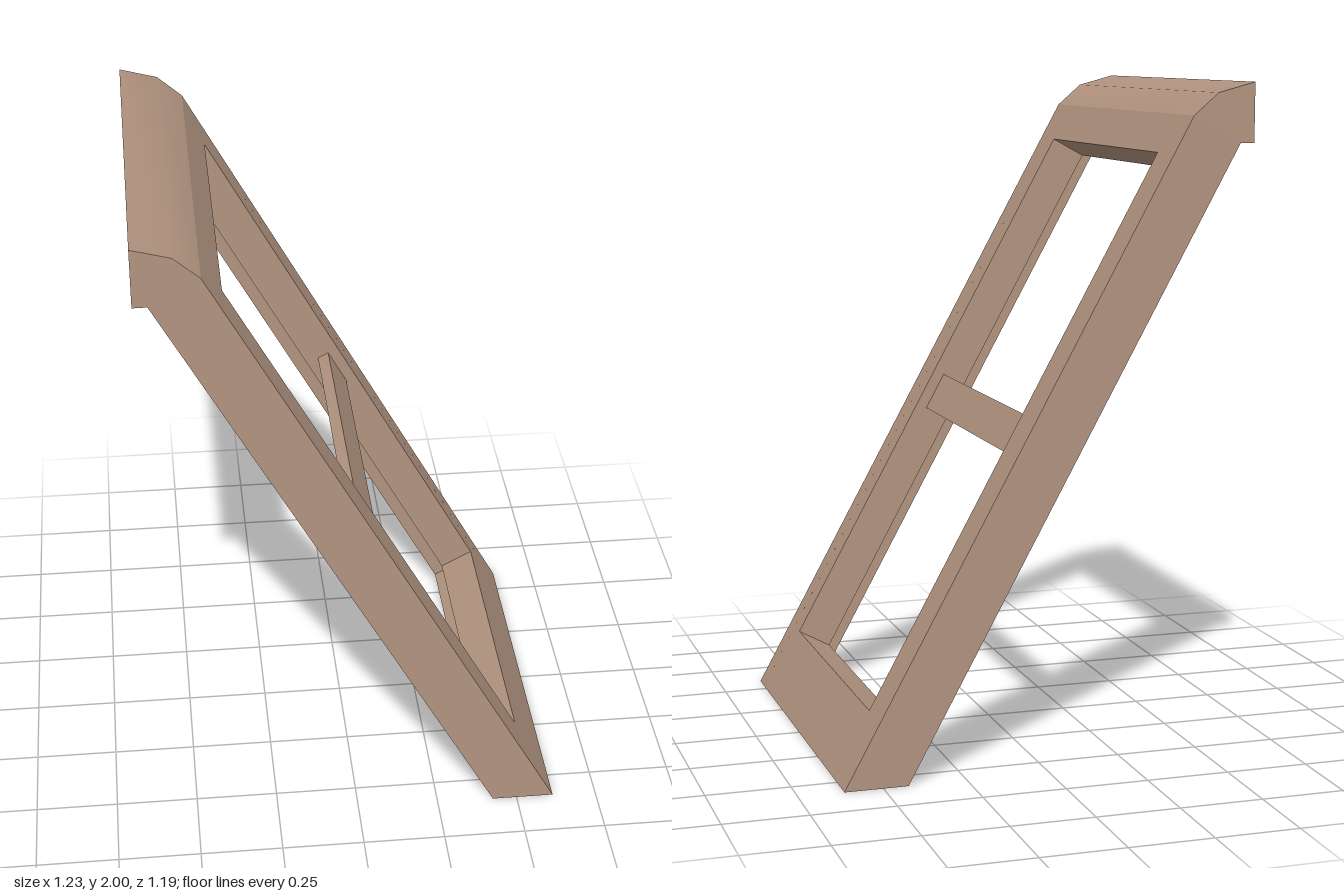
import * as THREE from 'three';
import { toCreasedNormals } from 'three/addons/utils/BufferGeometryUtils.js';

// Slope frame: s runs up the leaning panel, n points out of its front face.
const T = [-0.481, 0.877], N = [0.877, 0.481];
const at = (s, n) => [s * T[0] + n * N[0], s * T[1] + n * N[1]];

const FRONT = 0.539, STEP = 0.425, BACK = 0.373;   // front face, rebate shelf, back face
const LOW = -0.073, HIGH = 1.752, REBATE = 0.068;  // opening along the slope
const HALF = 0.593, OPEN = 0.465;                  // half widths along z
const TOP = 1.877;                                 // where the cap begins

export function createModel() {
  const group = new THREE.Group();
  const wood = new THREE.MeshStandardMaterial({ color: 0xb1937f });
  wood.name = 'brown wood';

  // Extrude an x-y outline from z0 to z1
  function add(name, points, z0, z1, crease = 0.1) {
    const shape = new THREE.Shape(points.map(p => new THREE.Vector2(...p)));
    const geo = new THREE.ExtrudeGeometry(shape, { depth: z1 - z0, bevelEnabled: false });
    geo.translate(0, 0, z0);
    const mesh = new THREE.Mesh(toCreasedNormals(geo, crease), wood);
    mesh.name = name;
    group.add(mesh);
  }

  const footFront = [0.615, 0], footBack = [0.425, 0];
  const inner = OPEN + REBATE;

  // Side rails, each with a shallower inner lip that leaves a rebate at the back
  for (const [side, sign] of [['left', 1], ['right', -1]]) {
    const span = (a, b) => sign > 0 ? [a, b] : [-b, -a];
    add(side + 'Rail', [footBack, footFront, at(TOP, FRONT), at(TOP, BACK)], ...span(inner, HALF));
    add(side + 'RailLip', [at(LOW, STEP), at(LOW, FRONT), at(HIGH, FRONT), at(HIGH, STEP)], ...span(OPEN, inner));
  }

  // Bottom and top rails with the same stepped rebate
  add('bottomRail', [footBack, footFront, at(LOW, FRONT), at(LOW, STEP),
    at(LOW - REBATE, STEP), at(LOW - REBATE, BACK)], -inner, inner);
  add('topRail', [at(TOP, BACK), at(HIGH + REBATE, BACK), at(HIGH + REBATE, STEP),
    at(HIGH, STEP), at(HIGH, FRONT), at(TOP, FRONT)], -inner, inner);

  // Softly rounded cap
  add('topCap', [at(TOP, BACK), at(TOP, FRONT), [-0.505, 1.97], [-0.618, 2], [-0.618, 1.825]],
    -HALF, HALF, 0.55);

  // Thin crossbar set back from the front face
  add('crossbar', [at(0.773, 0.466), at(0.773, 0.504), at(0.898, 0.504), at(0.898, 0.466)], -OPEN, OPEN);

  return group;
}
